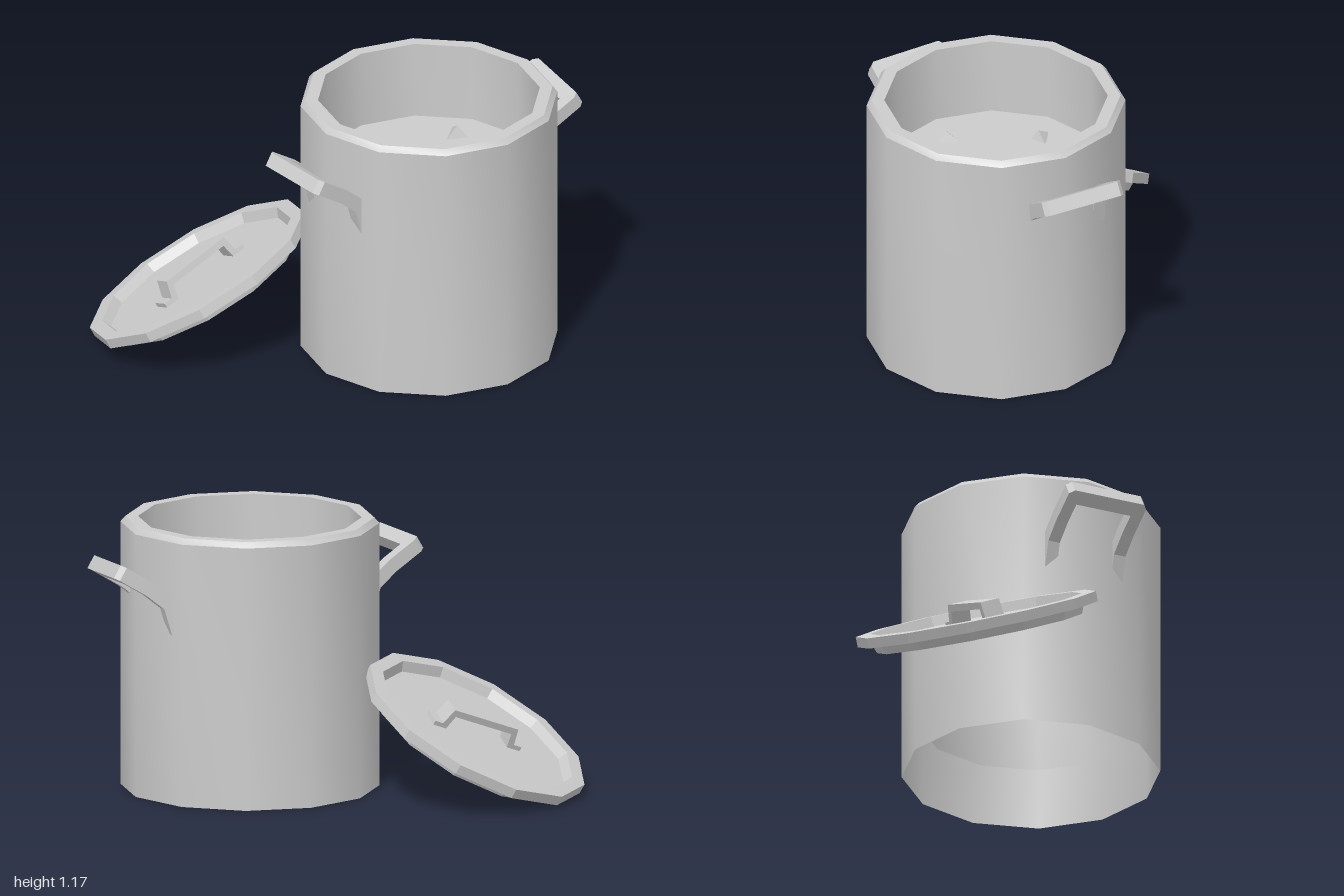
import * as THREE from 'three';
import { toCreasedNormals } from 'three/addons/utils/BufferGeometryUtils.js';

const SIDES = 12;
const smooth = new THREE.MeshStandardMaterial({ color: 0xcccccc, side: THREE.DoubleSide });
const flat = new THREE.MeshStandardMaterial({ color: 0xcccccc, side: THREE.DoubleSide, flatShading: true });

function add(parent, name, geometry, material = flat) {
  const mesh = new THREE.Mesh(geometry, material);
  mesh.name = name;
  parent.add(mesh);
  return mesh;
}

const lathe = (points) =>
  new THREE.LatheGeometry(points.map(([r, y]) => new THREE.Vector2(r, y)), SIDES);

// Bent U-shaped side handle, swept from four-cornered stations and mirrored in z
function handleGeometry(cx, cy) {
  // [outer u, outer y, outer z, inner u, inner y, inner z, thickness offset u, y]
  const half = [
    [0.478, 0.74, 0.185, 0.478, 0.74, 0.13, -0.028, 0.01],
    [0.515, 0.865, 0.185, 0.515, 0.865, 0.13, -0.022, 0.022],
    [0.60, 0.935, 0.185, 0.60, 0.935, 0.13, -0.016, 0.027],
    [0.72, 1.01, 0.185, 0.68, 0.985, 0.13, -0.016, 0.027],
    [0.74, 1.02, 0.165, 0.68, 0.985, 0.12, -0.016, 0.027],
  ];
  const mirrored = half.map(([a, b, c, d, e, f, g, h]) => [a, b, -c, d, e, -f, g, h]).reverse();
  const stations = [...half, ...mirrored];
  const position = [], index = [];
  for (const [ou, oy, oz, iu, iy, iz, nx, ny] of stations) {
    position.push(
      ou - cx + nx, oy - cy + ny, oz, iu - cx + nx, iy - cy + ny, iz,
      iu - cx - nx, iy - cy - ny, iz, ou - cx - nx, oy - cy - ny, oz);
  }
  for (let s = 0; s < stations.length - 1; s++) {
    for (let k = 0; k < 4; k++) {
      const a = s * 4 + k, b = s * 4 + (k + 1) % 4;
      index.push(a, a + 4, b, b, a + 4, b + 4);
    }
  }
  const e = (stations.length - 1) * 4;
  index.push(0, 1, 2, 0, 2, 3, e, e + 2, e + 1, e, e + 3, e + 2);
  const g = new THREE.BufferGeometry();
  g.setAttribute('position', new THREE.Float32BufferAttribute(position, 3));
  g.setIndex(index);
  g.computeVertexNormals();
  return g;
}

function createPot() {
  const pot = new THREE.Group();
  pot.name = 'pot';
  pot.position.set(0.257, 0, 0.285);

  // Outer wall, bevelled rim and inner wall, open underneath
  add(pot, 'potWall', toCreasedNormals(lathe([
    [0.556, 0], [0.556, 1.15], [0.535, 1.174], [0.48, 1.174], [0.48, 0.24],
  ]), 0.6), smooth);
  add(pot, 'stewSurface', new THREE.CircleGeometry(0.48, SIDES).rotateX(-Math.PI / 2)).position.y = 0.83;

  // Chunks poking out of the stew: x, z, radius, turn
  const chunks = [
    [-0.1, -0.285, 0.055, 1.4], [0.265, -0.15, 0.08, 0.6], [0.0, -0.005, 0.085, 3.1],
    [-0.31, 0.055, 0.065, 2.1], [0.28, 0.135, 0.06, 0.3], [0.07, 0.305, 0.075, 5.0],
  ];
  for (const [x, z, r, turn] of chunks) {
    const chunk = add(pot, 'stewChunk', new THREE.ConeGeometry(r, r * 0.9, 3));
    chunk.position.set(x, 0.85, z);
    chunk.rotation.set(0.15, turn, 0.1);
  }

  // Side handles; the left one sits slightly askew
  add(pot, 'rightHandle', handleGeometry(0, 0)).rotation.y = Math.PI;
  const left = add(pot, 'leftHandle', handleGeometry(0.65, 0.95));
  left.position.set(0.62, 0.955, -0.015);
  left.rotation.set(0.06, -0.14, 0);
  return pot;
}

function createLid() {
  const lid = new THREE.Group();
  lid.name = 'lid';
  // Leans upward towards the pot
  lid.position.set(-0.49, 0.266, -0.343);
  lid.quaternion.setFromAxisAngle(new THREE.Vector3(-0.757, 0, 0.654).normalize(), 0.527);

  // Pressed shell: plug below, rim, recessed panel on top
  add(lid, 'lidShell', lathe([
    [0, -0.04], [0.45, -0.04], [0.465, 0], [0.527, 0], [0.527, 0.045],
    [0.465, 0.047], [0.445, 0.005], [0, 0.005],
  ])).rotation.y = -0.073;

  // Strap handle with a flat foot at each end
  const strap = new THREE.Shape();
  const right = [[0.225, 0], [0.225, 0.025], [0.185, 0.025], [0.165, 0.1]];
  const under = [[0.145, 0.07], [0.16, 0]];
  const mirror = (list) => list.map(([x, y]) => [-x, y]).reverse();
  const outline = [...right, ...mirror(right), ...mirror(under), ...under];
  strap.setFromPoints(outline.map(([x, y]) => new THREE.Vector2(x, y)));
  const handle = add(lid, 'lidHandle',
    new THREE.ExtrudeGeometry(strap, { depth: 0.09, bevelEnabled: false }).translate(0, 0, -0.045));
  handle.rotation.y = -0.065;
  return lid;
}

export function createModel() {
  const model = new THREE.Group();
  model.name = 'stewPotWithLid';
  model.add(createPot(), createLid());
  return model;
}
